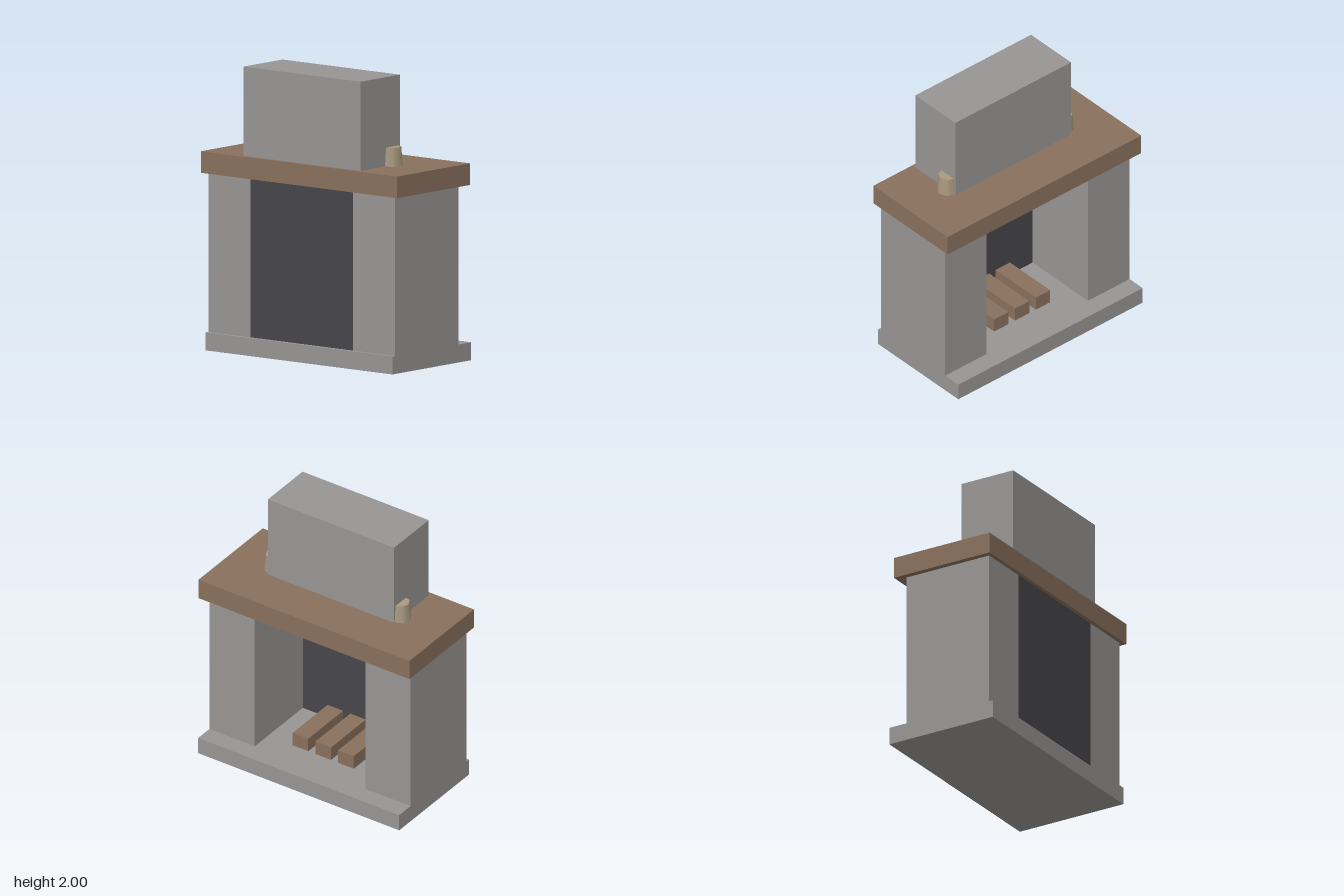
import * as THREE from 'three';

const material = (name, color) => {
  const m = new THREE.MeshStandardMaterial({ color });
  m.name = name;
  return m;
};

export function createModel() {
  const stone = material('grey stone', 0x979593);
  const wood = material('brown wood', 0x89705d);
  const soot = material('dark soot', 0x46454a);
  const wax = material('tan wax', 0xa9997f);

  const fireplace = new THREE.Group();
  fireplace.name = 'fireplace';

  // Box given by its limits on each axis
  const box = (name, mat, [x0, x1], [y0, y1], [z0, z1]) => {
    const mesh = new THREE.Mesh(new THREE.BoxGeometry(x1 - x0, y1 - y0, z1 - z0), mat);
    mesh.position.set((x0 + x1) / 2, (y0 + y1) / 2, (z0 + z1) / 2);
    mesh.name = name;
    fireplace.add(mesh);
  };

  // Hearth, mantel shelf and chimney
  box('hearth', stone, [-0.84, 0.84], [0, 0.125], [-0.42, 0.42]);
  box('mantel', wood, [-0.882, 0.882], [1.23, 1.38], [-0.357, 0.42]);
  box('chimney', stone, [-0.527, 0.527], [1.38, 2], [-0.03, 0.388]);

  // Side pillars and the sooty panel closing the firebox
  box('leftPillar', stone, [0.462, 0.84], [0.125, 1.23], [-0.283, 0.39]);
  box('rightPillar', stone, [-0.84, -0.462], [0.125, 1.23], [-0.283, 0.39]);
  box('fireboxPanel', soot, [-0.462, 0.462], [0.125, 1.23], [0.297, 0.39]);

  // Three logs on the hearth
  for (const x of [-0.19, 0, 0.19]) {
    box('log', wood, [x - 0.065, x + 0.065], [0.125, 0.228], [-0.124, 0.297]);
  }

  // Tapered candles half set into the chimney sides
  for (const side of [-1, 1]) {
    const candle = new THREE.Mesh(new THREE.CylinderGeometry(0.066, 0.077, 0.13, 8), wax);
    candle.position.set(side * 0.523, 1.445, 0.052);
    candle.name = side > 0 ? 'leftCandle' : 'rightCandle';
    fireplace.add(candle);
  }

  return fireplace;
}
